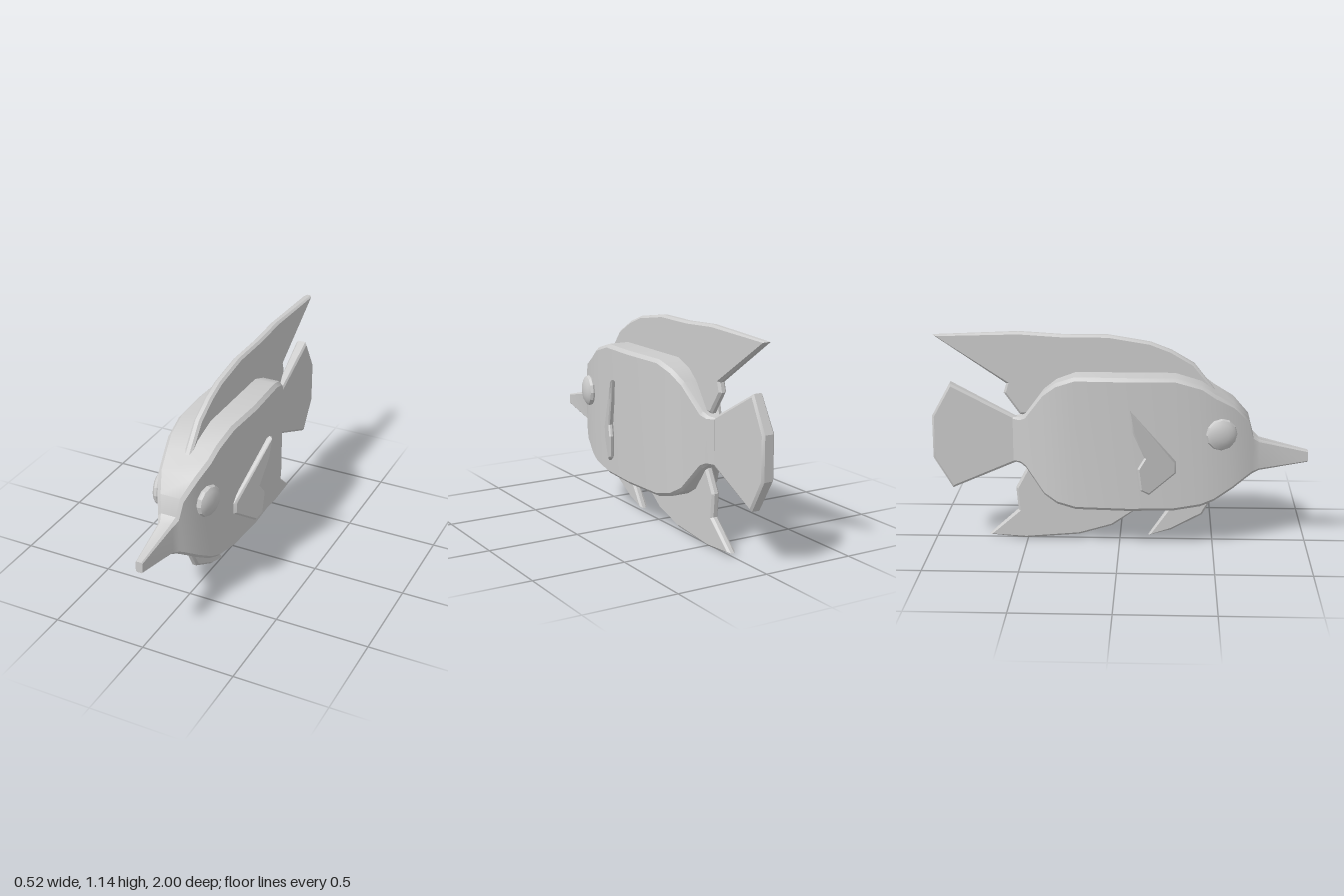
import * as THREE from 'three';
import { toCreasedNormals } from 'three/addons/utils/BufferGeometryUtils.js';

const material = new THREE.MeshStandardMaterial({ color: 0xcccccc });

function addMesh(group, name, geometry) {
  const mesh = new THREE.Mesh(geometry, material);
  mesh.name = name;
  group.add(mesh);
  return mesh;
}

// Loft of chamfered rectangles; each section is [z, bottom, top, halfWidth]
function loft(sections) {
  const pos = [], index = [], n = 8;
  for (const [z, b, t, w] of sections) {
    const c = Math.min(0.018, w * 0.3);
    pos.push(w, b + c, z, w, t - c, z, w - c, t, z, c - w, t, z,
      -w, t - c, z, -w, b + c, z, c - w, b, z, w - c, b, z);
  }
  const last = (sections.length - 1) * n;
  for (let i = 0; i < last; i += n) {
    for (let j = 0; j < n; j++) {
      const k = (j + 1) % n;
      index.push(i + j, i + n + j, i + k, i + k, i + n + j, i + n + k);
    }
  }
  for (let j = 1; j < n - 1; j++) {
    index.push(0, j, j + 1, last, last + j + 1, last + j);
  }
  const g = new THREE.BufferGeometry();
  g.setAttribute('position', new THREE.Float32BufferAttribute(pos, 3));
  g.setIndex(index);
  return toCreasedNormals(g, 0.5);
}

// Bevelled slab from a [z, y] outline, centred on x = 0; warp(x, z) can reshape x
function fin(outline, half, warp = (x) => x) {
  const bevel = Math.min(0.012, half * 0.6);
  const shape = new THREE.Shape(outline.map(([z, y]) => new THREE.Vector2(z, y)));
  const g = new THREE.ExtrudeGeometry(shape, {
    depth: 2 * (half - bevel), bevelThickness: bevel, bevelSize: bevel,
    bevelOffset: -bevel, bevelSegments: 1,
  });
  g.translate(0, 0, bevel - half).rotateY(-Math.PI / 2);
  const p = g.attributes.position;
  for (let i = 0; i < p.count; i++) p.setX(i, warp(p.getX(i), p.getZ(i)));
  g.computeVertexNormals();
  return toCreasedNormals(g, 0.4);
}

export function createModel() {
  const fish = new THREE.Group();
  fish.name = 'fish';

  // Body with snout and narrow tail root
  addMesh(fish, 'body', loft([
    [1.0, 0.455, 0.515, 0.019],
    [0.74, 0.41, 0.58, 0.04],
    [0.705, 0.395, 0.61, 0.058],
    [0.68, 0.38, 0.705, 0.072],
    [0.6, 0.325, 0.79, 0.108],
    [0.5, 0.262, 0.845, 0.132],
    [0.43, 0.236, 0.895, 0.144],
    [0.29, 0.215, 0.937, 0.156],
    [0.05, 0.212, 0.937, 0.165],
    [-0.23, 0.215, 0.937, 0.154],
    [-0.33, 0.238, 0.9, 0.135],
    [-0.4, 0.28, 0.845, 0.11],
    [-0.5, 0.415, 0.71, 0.064],
    [-0.53, 0.435, 0.69, 0.045],
    [-0.57, 0.44, 0.685, 0.022],
  ]));

  // Tail fin, thicker towards its rear edge
  addMesh(fish, 'tailFin', fin([
    [-0.52, 0.445], [-0.56, 0.435], [-0.9, 0.29], [-1, 0.46],
    [-1, 0.69], [-0.9, 0.87], [-0.56, 0.69], [-0.52, 0.68],
  ], 0.036, (x, z) => x * THREE.MathUtils.mapLinear(z, -0.52, -1, 0.5, 1)));

  // Fins on the centre line
  addMesh(fish, 'dorsalFin', fin([
    [0.52, 0.82], [0.39, 0.985], [0.27, 1.055], [0.16, 1.097], [-0.06, 1.133],
    [-0.3, 1.133], [-0.53, 1.147], [-0.98, 1.127], [-0.6, 0.87], [-0.615, 0.82],
    [-0.53, 0.7], [-0.48, 0.7], [-0.3, 0.8], [0.3, 0.8],
  ], 0.022));
  addMesh(fish, 'analFin', fin([
    [0.17, 0.23], [-0.04, 0.08], [-0.22, 0.027], [-0.51, 0.002], [-0.71, 0.02],
    [-0.55, 0.165], [-0.56, 0.29], [-0.48, 0.44], [-0.25, 0.35],
  ], 0.022));
  addMesh(fish, 'pelvicFin', fin([
    [0.52, 0.29], [0.445, 0.15], [0.28, 0.06], [0.155, 0.025], [0.3, 0.24],
  ], 0.022));

  // Paired pectoral fins, swept outwards, and eyes
  const pectoral = [
    [0.3, 0.43], [0.16, 0.327], [0.115, 0.355], [0.1, 0.475],
    [0.135, 0.53], [0.075, 0.67], [0.06, 0.79], [0.3, 0.49],
  ];
  for (const [side, s] of [['left', 1], ['right', -1]]) {
    addMesh(fish, side + 'PectoralFin',
      fin(pectoral, 0.015, (x, z) => x + s * (0.16 + (0.28 - z) * 0.4)));

    const eyeGeometry = new THREE.SphereGeometry(1, 12, 8);
    eyeGeometry.rotateZ(Math.PI / 2).scale(0.036, 0.086, 0.084);
    const eye = addMesh(fish, side + 'Eye', toCreasedNormals(eyeGeometry, 0.4));
    eye.position.set(s * 0.134, 0.636, 0.535);
    eye.rotation.y = -s * 0.2;
  }
  return fish;
}
